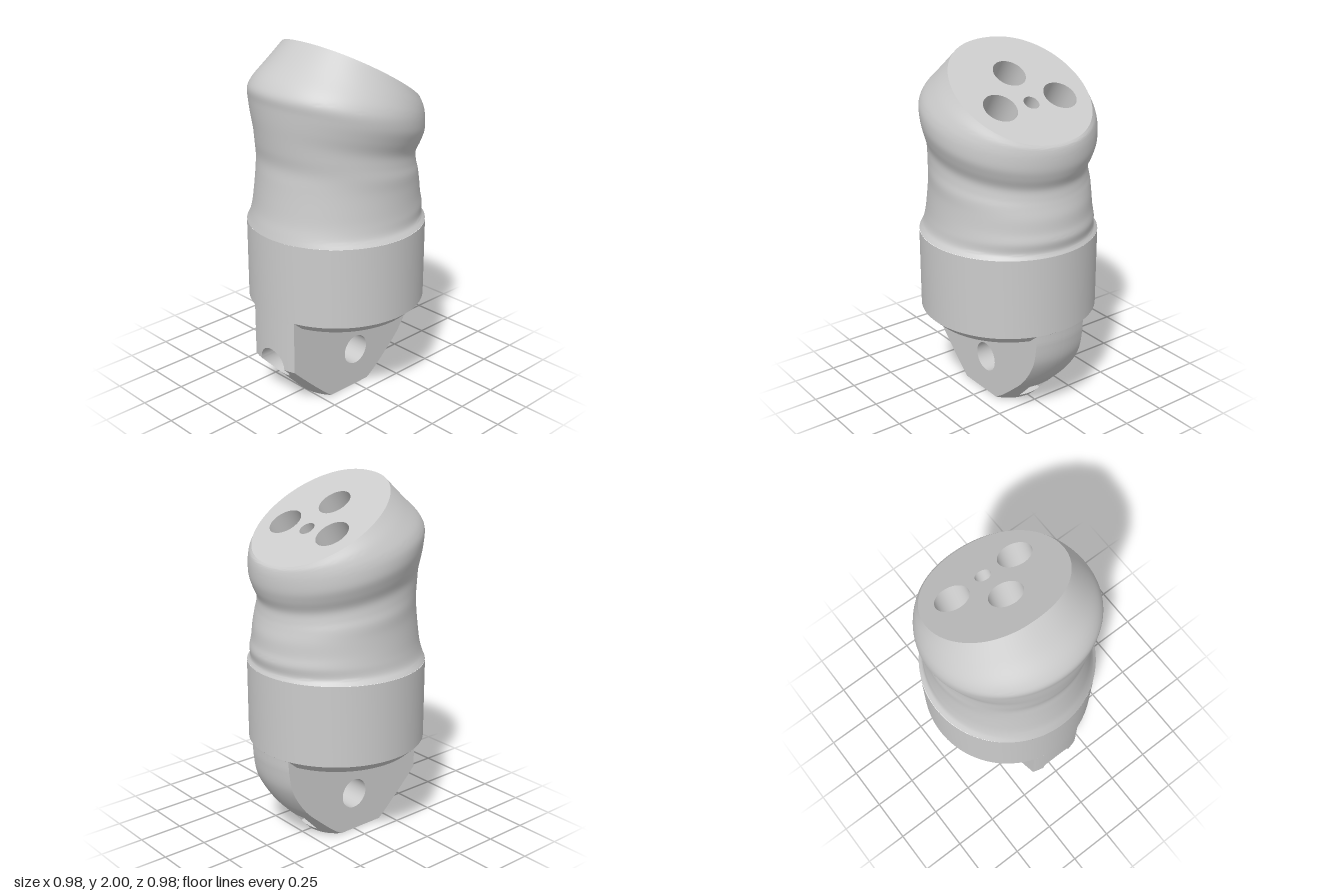
import * as THREE from 'three';
import { toCreasedNormals } from 'three/addons/utils/BufferGeometryUtils.js';

const V = (x, y, z) => new THREE.Vector3(x, y, z);
const R = 0.49;      // body radius
const W = 0.16;      // half width of the tang
const SLOPE = 0.612; // slanted top: y = 2 - SLOPE * (0.225 - z)
const topY = (z) => 2 - SLOPE * (0.225 - z);
const chord = (r, x) => Math.sqrt(Math.max(r * r - x * x, 0));

// Surface from a rule fn(u, v), with u and v in 0..1; faces look along dv x du.
function grid(nu, nv, fn) {
  const pos = [], idx = [];
  for (let i = 0; i <= nu; i++) {
    for (let j = 0; j <= nv; j++) {
      pos.push(...fn(i / nu, j / nv));
      if (i < nu && j < nv) {
        const a = i * (nv + 1) + j, b = a + nv + 1;
        idx.push(a, a + 1, b, b, a + 1, b + 1);
      }
    }
  }
  const g = new THREE.BufferGeometry();
  g.setAttribute('position', new THREE.Float32BufferAttribute(pos, 3));
  g.setIndex(idx);
  return toCreasedNormals(g, 0.5);
}

export function createModel() {
  const model = new THREE.Group();
  const mat = new THREE.MeshStandardMaterial({ color: 0xcccccc });
  const open = new THREE.MeshStandardMaterial({ color: 0xcccccc, side: THREE.DoubleSide });
  const add = (name, geo, m = mat, parent = model) => {
    const mesh = new THREE.Mesh(geo, m);
    mesh.name = name;
    parent.add(mesh);
    return mesh;
  };

  // Collar with a chamfered lower edge
  const profile = [[0, 0.5], [0.437, 0.5], [R, 0.55], [R, 1]].map((p) => new THREE.Vector2(...p));
  add('collar', toCreasedNormals(new THREE.LatheGeometry(profile, 96), 0.5));

  // Grip: tilted rings, each given as front y, front z, back y, back z, half width
  const rings = [
    [1.00, 0.49, 1.00, 0.49, 0.488],
    [1.04, 0.48, 1.025, 0.478, 0.463],
    [1.10, 0.465, 1.08, 0.484, 0.452],
    [1.20, 0.45, 1.13, 0.472, 0.443],
    [1.30, 0.438, 1.20, 0.462, 0.437],
    [1.38, 0.43, 1.26, 0.445, 0.437],
    [1.46, 0.44, 1.30, 0.435, 0.43],
    [1.54, 0.448, 1.35, 0.43, 0.43],
    [1.62, 0.455, 1.41, 0.452, 0.455],
    [1.70, 0.459, 1.46, 0.465, 0.474],
    [1.76, 0.461, 1.52, 0.467, 0.475],
    [1.81, 0.43, 1.56, 0.462, 0.464],
    [1.90, 0.33, 1.58, 0.455, 0.432],
    [2.00, 0.225, 1.59, 0.445, 0.388],
  ];
  const front = new THREE.CatmullRomCurve3(rings.map((r) => V(r[4], r[0], r[1])));
  const back = new THREE.CatmullRomCurve3(rings.map((r) => V(0, r[2], -r[3])));
  const grip = (u, v) => {
    const f = front.getPoint(v), b = back.getPoint(v);
    const a = u * Math.PI * 2, c = Math.cos(a), k = (1 + Math.sin(a)) / 2;
    const x = f.x * Math.sign(c) * Math.abs(c) ** (1 - 0.1 * v ** 6);
    return [x, b.y + (f.y - b.y) * k, b.z + (f.z - b.z) * k];
  };
  add('grip', grid(96, 65, grip));

  // Slanted top face with its sockets: x, z, radius, depth
  const sockets = [[-0.195, -0.19, 0.093, 0.17], [0.192, -0.19, 0.093, 0.17],
    [0, -0.01, 0.091, 0.17], [0, -0.197, 0.043, 0.25]];
  const tilt = Math.atan(SLOPE);
  const rim = new THREE.Shape(Array.from({ length: 96 }, (_, i) => {
    const p = grip(1 - i / 96, 1);
    return new THREE.Vector2(p[0], -p[2]);
  }));
  for (const [x, z, r] of sockets) {
    rim.holes.push(new THREE.Path().absellipse(x, -z, r, r * Math.cos(tilt), 0, Math.PI * 2, true));
  }
  const face = new THREE.ShapeGeometry(rim, 24).rotateX(-Math.PI / 2);
  const fp = face.attributes.position;
  for (let i = 0; i < fp.count; i++) fp.setY(i, topY(fp.getZ(i)));
  face.computeVertexNormals();
  add('slantedTop', face);
  for (const [x, z, r, d] of sockets) {
    const socket = new THREE.Group();
    socket.name = 'socket';
    socket.position.set(x, topY(z), z);
    socket.rotation.x = -tilt;
    add('socketWall', new THREE.CylinderGeometry(r, r, d, 48, 1, true).translate(0, -d / 2, 0), open, socket);
    add('socketFloor', new THREE.CircleGeometry(r, 48).rotateX(-Math.PI / 2).translate(0, -d, 0), mat, socket);
    model.add(socket);
  }

  // Tang: cone below the cylinder in front, rounded behind
  const frontZ = (x, y) => chord(y < 0.25 ? 0.25 + 0.96 * y : R, x);
  const backCurve = new THREE.CatmullRomCurve3([
    [0.185, 0], [0.285, 0.11], [0.385, 0.22], [0.463, 0.36], [0.486, 0.48], [R, 0.55],
  ].map(([r, y]) => V(r, y, 0)));
  const backAt = (v, x) => {
    const p = backCurve.getPoint(v);
    return [p.y, -chord(p.x, x)];
  };

  // Tang front: strip between a round recess and the rectangular outline
  const corners = [[W, 0.25], [W, 0.55], [-W, 0.55], [-W, 0.25], [-W, 0], [W, 0], [W, 0.25]];
  const hr = 0.095;
  add('tangFront', grid(96, 8, (u, v) => {
    const s = Math.min(Math.floor(u * 6 + 1e-9), 5), t = u * 6 - s;
    const ox = corners[s][0] + (corners[s + 1][0] - corners[s][0]) * t;
    const oy = corners[s][1] + (corners[s + 1][1] - corners[s][1]) * t - 0.25;
    const k = hr / Math.hypot(ox, oy);
    const x = ox * (k + (1 - k) * v), y = 0.25 + oy * (k + (1 - k) * v);
    return [x, y, frontZ(x, y)];
  }));
  const floorZ = 0.34;
  add('frontRecessWall', grid(64, 1, (u, v) => {
    const a = u * Math.PI * 2, x = hr * Math.cos(a), y = 0.25 + hr * Math.sin(a);
    return [x, y, v ? frontZ(x, y) : floorZ];
  }), open);
  add('frontRecessFloor', new THREE.CircleGeometry(hr, 48).translate(0, 0.25, floorZ));

  // Tang back, with a small notch near the bottom
  add('tangBack', grid(64, 60, (u, v) => {
    const x = (u * 2 - 1) * W, [y, z] = backAt(v, x);
    const notch = Math.abs(x) < 0.07 && y > 0.03 && y < 0.125;
    return [x, y, notch ? z + 0.04 : z];
  }));
  add('tangBottom', grid(32, 1, (u, v) => {
    const x = (u * 2 - 1) * W;
    return [x, 0, v ? backAt(0, x)[1] : frontZ(x, 0)];
  }));

  // Flat cheeks of the tang and the cross hole through them
  const cheek = new THREE.Shape();
  cheek.moveTo(frontZ(W, 0.55), 0.55);
  for (let i = 0; i <= 40; i++) {
    const [y, z] = backAt(1 - i / 40, W);
    cheek.lineTo(z, y);
  }
  for (let i = 0; i <= 12; i++) cheek.lineTo(frontZ(W, i * 0.25 / 12), i * 0.25 / 12);
  cheek.holes.push(new THREE.Path().absarc(0, 0.22, 0.085, 0, Math.PI * 2, true));
  for (const s of [-1, 1]) {
    add(s > 0 ? 'leftCheek' : 'rightCheek',
      new THREE.ShapeGeometry(cheek, 24).rotateY(-Math.PI / 2).translate(s * W, 0, 0), open);
  }
  add('crossHole', new THREE.CylinderGeometry(0.085, 0.085, 2 * W, 48, 1, true)
    .rotateZ(Math.PI / 2).translate(0, 0.22, 0), open);

  return model;
}
